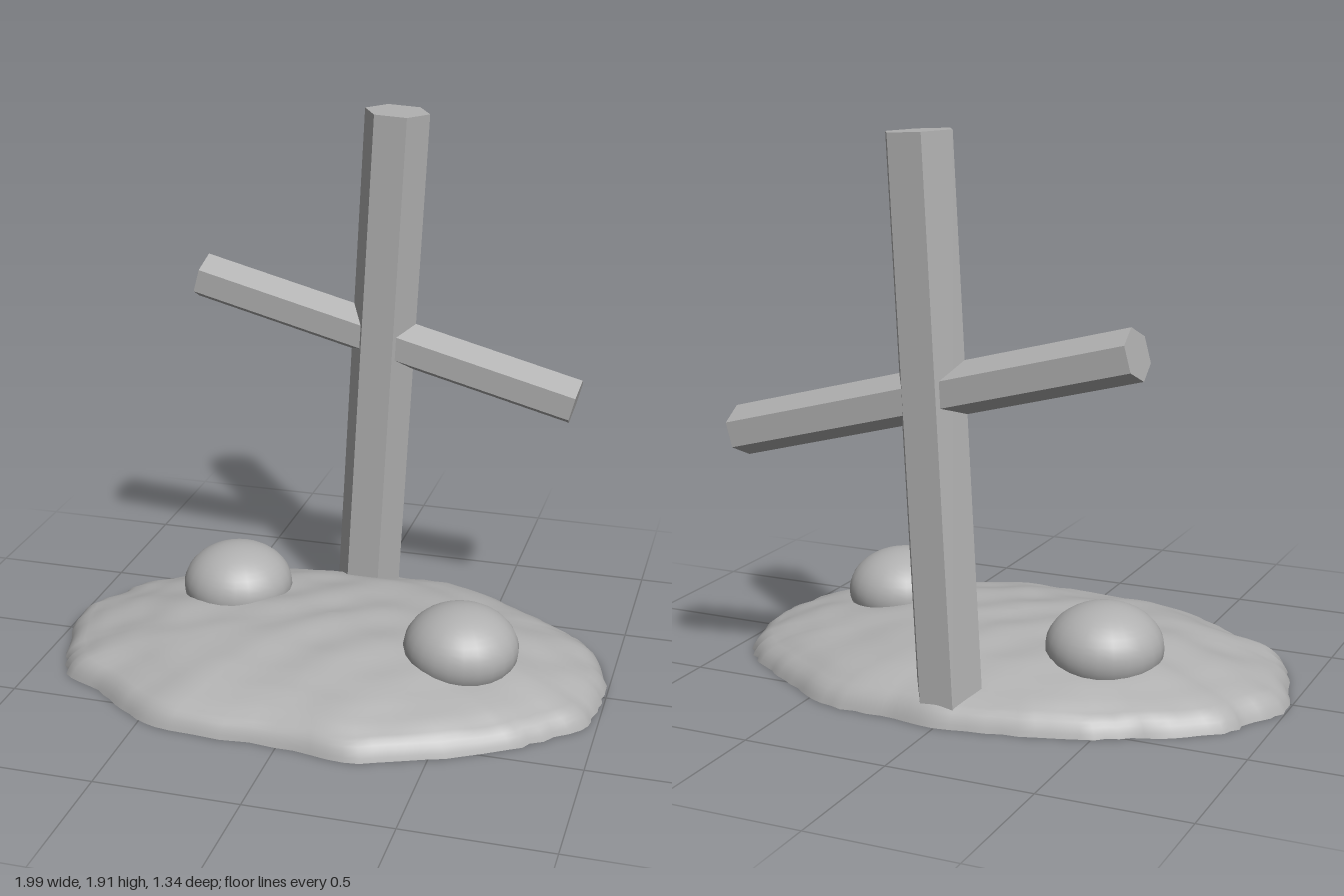
import * as THREE from 'three';

const stone = new THREE.MeshStandardMaterial({ color: 0xb0b0b0 });
stone.name = 'grey stone';
const ground = new THREE.MeshStandardMaterial({ color: 0xb0b0b0, side: THREE.DoubleSide });
ground.name = 'grey ground';
const dark = new THREE.MeshStandardMaterial({ color: 0x0c0c0c });
dark.name = 'black underside';

// Rim of the mound as x, z pairs, running from +x towards the back
const RIM = [
  1, -0.02, 0.98, -0.16, 0.91, -0.3, 0.82, -0.39, 0.72, -0.46, 0.56, -0.56, 0.41, -0.64, 0.21, -0.65,
  0, -0.67, -0.24, -0.63, -0.45, -0.58, -0.6, -0.5, -0.76, -0.42, -0.89, -0.31, -0.93, -0.2, -1, -0.09,
  -0.97, 0.1, -0.92, 0.24, -0.86, 0.36, -0.7, 0.45, -0.56, 0.56, -0.39, 0.63, 0, 0.64, 0.25, 0.67,
  0.45, 0.6, 0.7, 0.48, 0.83, 0.37, 0.97, 0.22, 0.99, 0.11,
];

// Mound profile: fraction of the rim distance, height
const PROFILE = [[0, 0.195], [0.2, 0.19], [0.4, 0.178], [0.6, 0.155], [0.75, 0.125],
  [0.87, 0.092], [0.95, 0.06], [0.985, 0.03], [1, 0]];

function profileHeight(t) {
  for (let i = 1; i < PROFILE.length; i++) {
    const [t0, h0] = PROFILE[i - 1], [t1, h1] = PROFILE[i];
    if (t <= t1) return h0 + (h1 - h0) * (t - t0) / (t1 - t0);
  }
  return 0;
}

const bumps = (x, z) =>
  0.006 * Math.sin(9 * x + 3 * Math.sin(5 * z)) * Math.cos(12 * z + 1.5 * Math.sin(6 * x))
  + 0.004 * Math.sin(23 * z + 5 * x) * Math.cos(17 * x - 4 * z);

// Lumpy open shell, built in rings from the middle to the rim
function moundGeometry() {
  const points = [];
  for (let i = 0; i < RIM.length; i += 2) points.push(new THREE.Vector3(RIM[i], 0, RIM[i + 1]));
  const curve = new THREE.CatmullRomCurve3(points, true);
  const seg = 120, rings = 32;
  const pos = [], index = [];
  for (let r = 0; r <= rings; r++) {
    const t = 1 - Math.pow(1 - r / rings, 1.4);
    for (let s = 0; s < seg; s++) {
      const p = curve.getPoint(s / seg);
      const rough = 1 - t * t * (0.007 + 0.007 * Math.sin(s * 1.9 + 2 * Math.sin(s * 0.7)));
      const x = THREE.MathUtils.clamp(p.x * t * rough, -1, 1), z = p.z * t * rough;
      const fade = Math.min(1, (1 - t) * 12);
      pos.push(x, Math.max(0, profileHeight(t) + bumps(x, z) * fade), z);
      if (r === rings) continue;
      const a = r * seg + s, b = r * seg + (s + 1) % seg;
      if (r > 0) index.push(a, a + seg, b);
      index.push(b, a + seg, b + seg);
    }
  }
  const g = new THREE.BufferGeometry();
  g.setAttribute('position', new THREE.Float32BufferAttribute(pos, 3));
  g.setIndex(index);
  g.computeVertexNormals();
  return g;
}

// Six-sided beam between two points in the plane of the cross
function beam(name, x0, y0, x1, y1, radius, depthScale, bottomMaterial) {
  const dx = x1 - x0, dy = y1 - y0;
  const g = new THREE.CylinderGeometry(radius, radius, Math.hypot(dx, dy), 6, 1, false, Math.PI / 2);
  g.scale(1, 1, depthScale);
  const flat = g.toNonIndexed();
  flat.computeVertexNormals();
  g.groups.forEach((k) => flat.addGroup(k.start, k.count, k.materialIndex));
  const mesh = new THREE.Mesh(flat, [stone, stone, bottomMaterial]);
  mesh.name = name;
  mesh.position.set((x0 + x1) / 2, (y0 + y1) / 2, -0.53);
  mesh.rotation.z = Math.atan2(-dx, dy);
  return mesh;
}

// Flattened boulder with a separate buried underside
function boulder(name, x, z) {
  const group = new THREE.Group();
  group.name = name;
  const split = 2.06;
  const parts = [['boulderTop', 0, split, stone], ['boulderUnderside', split, Math.PI - split, dark]];
  for (const [partName, start, length, material] of parts) {
    const mesh = new THREE.Mesh(
      new THREE.SphereGeometry(0.2, 24, 14, 0, Math.PI * 2, start, length), material);
    mesh.name = partName;
    group.add(mesh);
  }
  group.scale.y = 0.75;
  group.position.set(x, 0.18, z);
  return group;
}

export function createModel() {
  const model = new THREE.Group();
  model.name = 'crossOnMound';

  const mound = new THREE.Mesh(moundGeometry(), ground);
  mound.name = 'mound';
  model.add(mound);

  // Leaning cross
  model.add(beam('post', 0.005, 0.006, 0.1, 1.9, 0.1175, 1, dark));
  model.add(beam('crossbar', -0.632, 1.25, 0.772, 0.885, 0.085, 1.19, stone));

  // Boulders
  model.add(boulder('rightBoulder', -0.4, -0.185));
  model.add(boulder('leftBoulder', 0.505, 0.105));
  return model;
}
